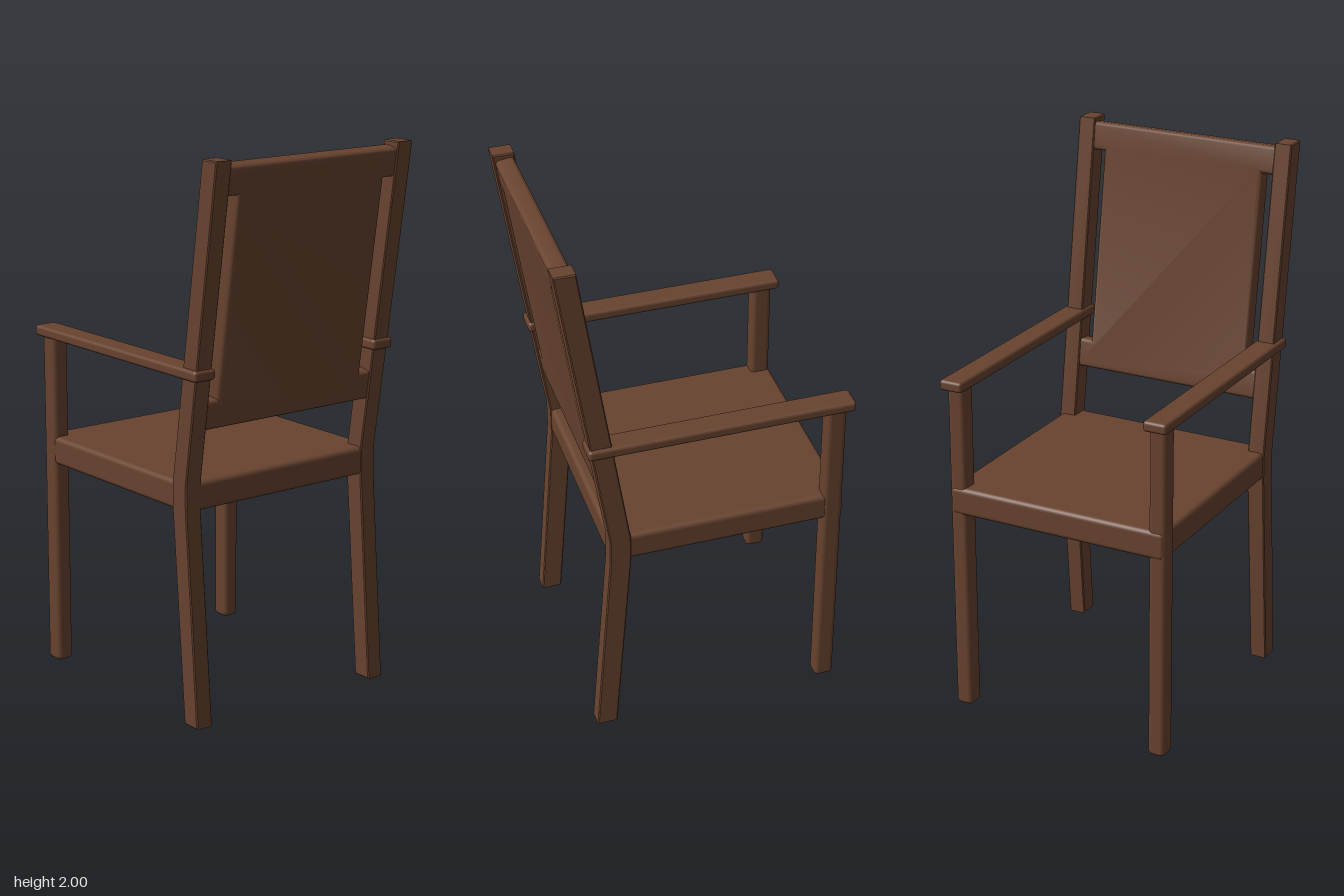
import * as THREE from 'three';
import { toCreasedNormals } from 'three/addons/utils/BufferGeometryUtils.js';
import { RoundedBoxGeometry } from 'three/addons/geometries/RoundedBoxGeometry.js';

const wood = new THREE.MeshStandardMaterial({ color: 0x68432f });
wood.name = 'brownWood';

function addMesh(group, name, geometry) {
  const mesh = new THREE.Mesh(geometry, wood);
  mesh.name = name;
  group.add(mesh);
  return mesh;
}

// Rounded box given by its limits on each axis
function roundedBox([x0, x1], [y0, y1], [z0, z1], radius) {
  const g = new RoundedBoxGeometry(x1 - x0, y1 - y0, z1 - z0, 3, radius);
  return g.translate((x0 + x1) / 2, (y0 + y1) / 2, (z0 + z1) / 2);
}

// Extruded outline with eased edges, centred on its thickness
function easedPlate(points, depth, bevel, segments) {
  const shape = new THREE.Shape(points.map(([x, y]) => new THREE.Vector2(x, y)));
  const g = new THREE.ExtrudeGeometry(shape, {
    depth: depth - 2 * bevel, bevelEnabled: true, bevelThickness: bevel,
    bevelSize: bevel, bevelOffset: -bevel, bevelSegments: segments,
  });
  g.translate(0, 0, -depth / 2 + bevel);
  return toCreasedNormals(g, 0.7);
}

export function createModel() {
  const chair = new THREE.Group();
  chair.name = 'armchair';

  // Seat slab, flush with the legs
  addMesh(chair, 'seat', roundedBox([-0.427, 0.427], [0.77, 0.875], [-0.507, 0.362], 0.018));

  // Back panel with a slot beside each post, leaning with the posts
  const right = [[0.375, -0.465], [0.375, -0.357], [0.322, -0.357],
    [0.322, 0.361], [0.375, 0.361], [0.375, 0.465]];
  const left = right.map(([x, y]) => [-x, y]).reverse();
  const back = addMesh(chair, 'backPanel', easedPlate([...right, ...left], 0.068, 0.016, 4));
  back.position.set(0, 1.5225, 0.423);
  back.rotation.x = 0.149;

  // Side profile of the bent rear post, as (z, y)
  const postProfile = [[0.35, 0], [0.425, 0], [0.364, 0.77], [0.364, 0.87],
    [0.534, 2], [0.456, 2], [0.287, 0.87], [0.287, 0.77]];

  for (const [side, s] of [['left', 1], ['right', -1]]) {
    const post = easedPlate(postProfile, 0.066, 0.004, 1);
    post.rotateY(-Math.PI / 2).translate(s * 0.398, 0, 0);
    addMesh(chair, side + 'RearPost', post);

    const frontLeg = roundedBox([-0.033, 0.033], [0, 1.265], [-0.503, -0.43], 0.018);
    addMesh(chair, side + 'FrontLeg', frontLeg.translate(s * 0.398, 0, 0));

    const arm = roundedBox([-0.045, 0.045], [1.246, 1.285], [-0.53, 0.435], 0.012);
    addMesh(chair, side + 'Armrest', arm.translate(s * 0.4, 0, 0));
  }
  return chair;
}
